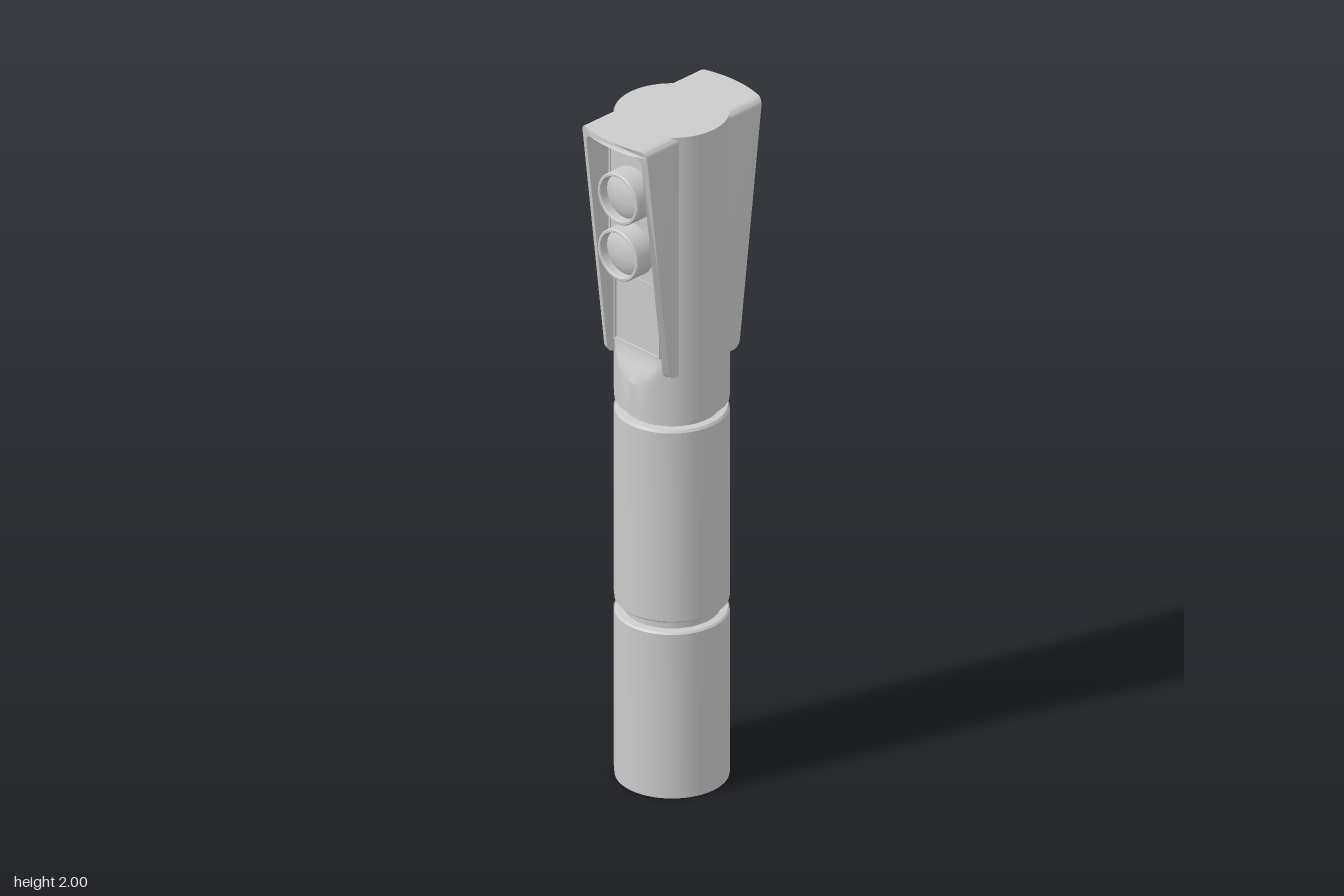
import * as THREE from 'three';
import { toCreasedNormals } from 'three/addons/utils/BufferGeometryUtils.js';

const grey = new THREE.MeshStandardMaterial({ color: 0xcccccc });
const greyDouble = new THREE.MeshStandardMaterial({ color: 0xcccccc, side: THREE.DoubleSide });
const R = 0.154;

function add(parent, name, geometry, material = grey) {
  const mesh = new THREE.Mesh(geometry, material);
  mesh.name = name;
  parent.add(mesh);
  return mesh;
}

function lathe(points, segments = 96) {
  const pts = points.map(([r, y]) => new THREE.Vector2(r, y));
  return toCreasedNormals(new THREE.LatheGeometry(pts, segments), 0.5);
}

// Upper column: a cylinder with two opposite flats that run out on a sloping sill
function headCoreGeometry() {
  const profile = [[0, 1.14], [R, 1.14], [R, 1.235], [R, 1.26], [R, 1.285], [R, 1.31], [R, 1.33],
    [R, 1.97], [R, 1.975], [R, 2], [0, 2]];
  const geo = new THREE.LatheGeometry(profile.map(([r, y]) => new THREE.Vector2(r, y)), 128);
  const p = geo.attributes.position;
  for (let i = 0; i < p.count; i++) {
    const y = p.getY(i);
    if (y > 1.972) continue;
    const limit = THREE.MathUtils.clamp(R - (y - 1.235) * 0.38, 0.125, R);
    p.setZ(i, THREE.MathUtils.clamp(p.getZ(i), -limit, limit));
  }
  return toCreasedNormals(geo, 0.35);
}

// Hood: an inverted U pushed outwards, its front edge leaning out and bowed in plan
function hoodGeometry() {
  const w = 0.1215, wi = 0.104, bottom = 1.28, top = 2, ro = 0.022, ri = 0.03, ceil = 1.978;
  const pts = [];
  const wall = [0, 0.003, 0.01, 0.02, 0.04];
  const arc = (cx, cy, r, a0, a1) => {
    for (let i = 0; i <= 8; i++) {
      const a = a0 + (a1 - a0) * i / 8;
      pts.push(new THREE.Vector2(cx + r * Math.cos(a), cy + r * Math.sin(a)));
    }
  };
  const roof = (half, y, dir) => {
    for (let i = 1; i < 16; i++) pts.push(new THREE.Vector2(dir * half * (1 - i / 8), y));
  };
  wall.forEach(h => pts.push(new THREE.Vector2(w, bottom + h)));
  arc(w - ro, top - ro, ro, 0, Math.PI / 2);
  roof(w - ro, top, 1);
  arc(ro - w, top - ro, ro, Math.PI / 2, Math.PI);
  [...wall].reverse().forEach(h => pts.push(new THREE.Vector2(-w, bottom + h)));
  wall.forEach(h => pts.push(new THREE.Vector2(-wi, bottom + h)));
  arc(ri - wi, ceil - ri, ri, Math.PI, Math.PI / 2);
  roof(wi - ri, ceil, -1);
  arc(wi - ri, ceil - ri, ri, Math.PI / 2, 0);
  [...wall].reverse().forEach(h => pts.push(new THREE.Vector2(wi, bottom + h)));

  const geo = new THREE.ExtrudeGeometry(new THREE.Shape(pts), { depth: 1, bevelEnabled: false });
  const p = geo.attributes.position;
  for (let i = 0; i < p.count; i++) {
    const x = p.getX(i), y = p.getY(i);
    if (p.getZ(i) < 0.5) { p.setZ(i, 0.085); continue; }
    const lean = 0.132 + 0.0865 * (y - bottom) / (top - bottom);
    const bow = 0.022 * (1 - (x / w) ** 2);
    const k = THREE.MathUtils.clamp(1 - (y - bottom) / 0.02, 0, 1);
    const tip = 0.02 * (1 - Math.sqrt(1 - k * k));
    p.setZ(i, lean + bow - tip);
  }
  return toCreasedNormals(geo, 0.5);
}

// Rectangular frame with a hole, facing +z
function frameGeometry(w, h, border, depth) {
  const rect = (S, a, b) => new S([[-a, -b], [a, -b], [a, b], [-a, b]].map(([x, y]) => new THREE.Vector2(x, y)));
  const shape = rect(THREE.Shape, w / 2, h / 2);
  shape.holes.push(rect(THREE.Path, w / 2 - border, h / 2 - border));
  return new THREE.ExtrudeGeometry(shape, { depth, bevelEnabled: false });
}

function makeSignalSide() {
  const side = new THREE.Group();
  side.name = 'signalSide';
  add(side, 'hood', hoodGeometry(), greyDouble);

  // Upper plate that carries the lamps
  add(side, 'lampPlate', new THREE.BoxGeometry(0.17, 0.36, 0.045)).position.set(0, 1.735, 0.124);
  add(side, 'lampPlateFrame', frameGeometry(0.18, 0.37, 0.007, 0.03)).position.set(0, 1.735, 0.12);

  // Lower access panel
  add(side, 'lowerPanel', new THREE.BoxGeometry(0.156, 0.206, 0.03)).position.set(0, 1.44, 0.117);
  add(side, 'lowerPanelFrame', frameGeometry(0.172, 0.22, 0.005, 0.015)).position.set(0, 1.44, 0.12);

  // Two round lamps, each a rim tube with a domed lens
  const rim = lathe([[0.075, 0], [0.075, 0.058], [0.072, 0.061], [0.066, 0.061], [0.064, 0.058], [0.064, 0.02]], 64);
  const lens = lathe([[0.065, 0.034], [0.056, 0.041], [0.042, 0.047], [0.025, 0.051], [0, 0.053]], 64);
  for (const y of [1.64, 1.81]) {
    const lamp = new THREE.Group();
    lamp.name = 'lamp';
    lamp.position.set(0, y, 0.146);
    lamp.rotation.x = Math.PI / 2;
    add(lamp, 'lampRim', rim, greyDouble);
    add(lamp, 'lampLens', lens, greyDouble);
    side.add(lamp);
  }
  return side;
}

export function createModel() {
  const model = new THREE.Group();
  model.name = 'signalColumn';

  // Lower column with two grooves
  const b = 0.005;
  add(model, 'column', lathe([
    [0, 0], [R, 0], [R, 0.5 - b], [R - b, 0.5], [0.13, 0.502], [0.13, 0.528], [R - b, 0.53], [R, 0.53 + b],
    [R, 1.11 - b], [R - b, 1.112], [0.13, 1.114], [0.13, 1.138], [R - b, 1.14], [0, 1.14]]));

  // Thin cover plates on one side of each column section
  for (const [y0, y1] of [[0.005, 0.495], [0.535, 1.105], [1.145, 1.995]]) {
    const cover = new THREE.CylinderGeometry(0.157, 0.157, y1 - y0, 48, 1, true,
      THREE.MathUtils.degToRad(177), THREE.MathUtils.degToRad(94));
    add(model, 'coverPlate', cover, greyDouble).position.y = (y0 + y1) / 2;
  }

  // Head with two opposite signal sides
  const head = new THREE.Group();
  head.name = 'head';
  head.rotation.y = -0.628;
  add(head, 'headCore', headCoreGeometry());
  for (const turn of [0, Math.PI]) {
    const side = makeSignalSide();
    side.rotation.y = turn;
    head.add(side);
  }
  model.add(head);
  return model;
}
